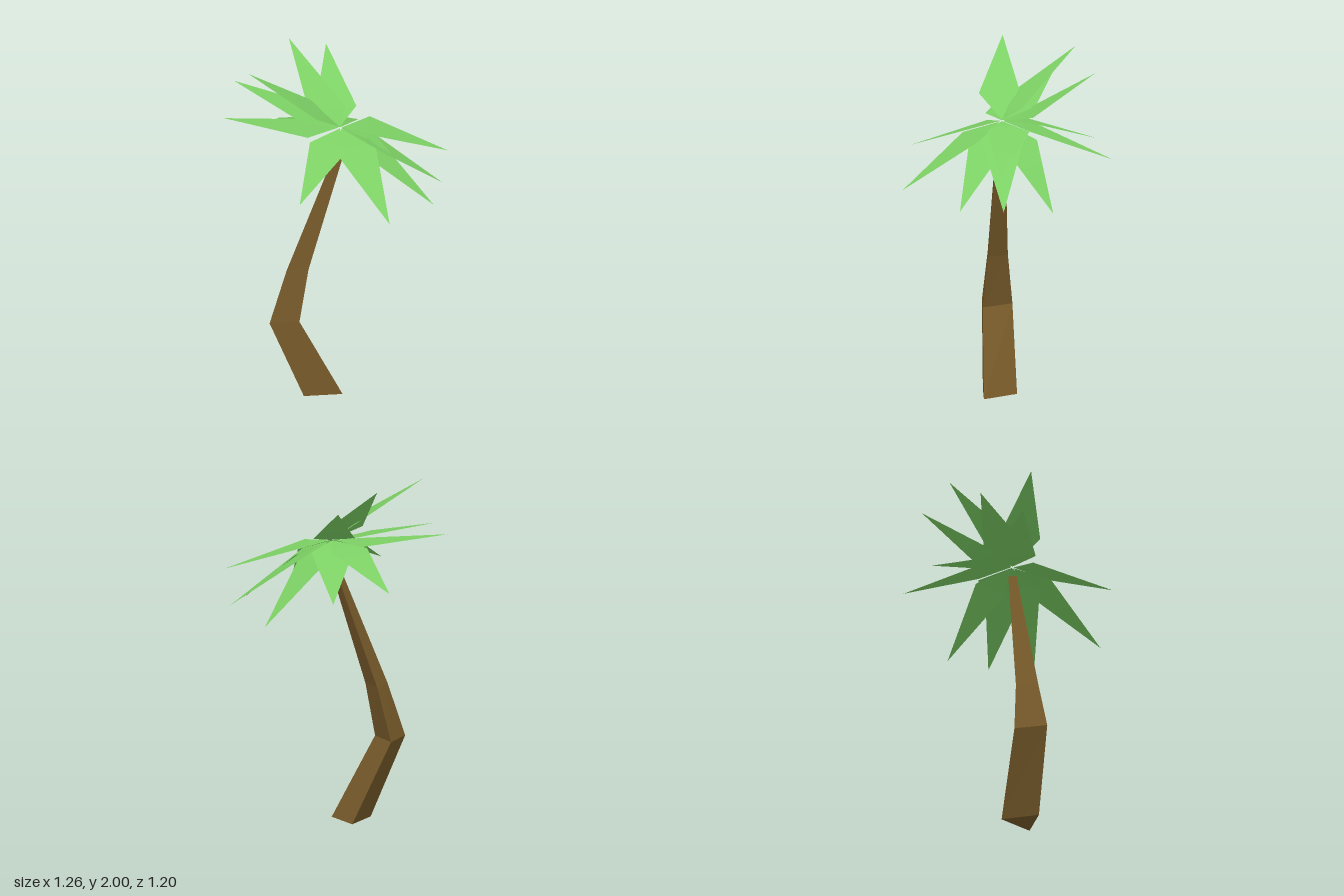
import * as THREE from 'three';

const CROWN = new THREE.Vector3(0.02, 1.63, 0.03);
const UP = new THREE.Vector3(0, 1, 0);

function buildGeometry(points, index) {
  const geo = new THREE.BufferGeometry().setFromPoints(points);
  geo.setIndex(index);
  return geo;
}

// Bent, tapering trunk with a triangular section: flat face forward, ridge at the back
function makeTrunk() {
  // y, left x, right x, front z, back z
  const rings = [
    [0, -0.2, 0.02, 0.13, -0.06],
    [0.47, -0.395, -0.225, 0.13, -0.04],
    [0.78, -0.295, -0.17, 0.1, -0.012],
    [1.58, 0.022, 0.066, 0.055, 0.012],
  ];
  const points = [];
  const index = [0, 2, 1];
  rings.forEach(([y, left, right, front, back], r) => {
    points.push(
      new THREE.Vector3(left, y, front),
      new THREE.Vector3(right, y, front),
      new THREE.Vector3((left + right) / 2, y, back)
    );
    if (r === 0) return;
    for (let i = 0; i < 3; i++) {
      const j = (i + 1) % 3;
      const low = (r - 1) * 3, high = r * 3;
      index.push(low + i, low + j, high + j, low + i, high + j, high + i);
    }
  });
  const top = (rings.length - 1) * 3;
  index.push(top, top + 1, top + 2);
  const geo = buildGeometry(points, index).toNonIndexed();
  geo.computeVertexNormals();
  const mesh = new THREE.Mesh(geo, new THREE.MeshStandardMaterial({ color: 0x775a2a, flatShading: true }));
  mesh.name = 'trunk';
  return mesh;
}

// One frond: a kite from the crown to its tip, bent across its widest line
function makeFrond(tip, middle, material) {
  const side = tip.clone().sub(middle).cross(UP).normalize();
  const halfWidth = 0.118;
  const geo = buildGeometry([
    CROWN.clone().lerp(middle, 0.05),
    middle.clone().addScaledVector(side, halfWidth),
    middle.clone().addScaledVector(side, -halfWidth),
    tip,
  ], [0, 1, 2, 1, 3, 2]);
  geo.computeVertexNormals();
  return new THREE.Mesh(geo, material);
}

export function createModel() {
  const model = new THREE.Group();
  model.name = 'palmTree';
  model.add(makeTrunk());

  const fronds = new THREE.Group();
  fronds.name = 'fronds';
  const green = new THREE.MeshStandardMaterial({ color: 0x7cd064, side: THREE.DoubleSide });
  // tip, then middle of the widest line
  const layout = [
    // rising fronds
    [[-0.5, 1.99, 0.01], [-0.123, 1.75, 0.037]],
    [[-0.22, 2.0, -0.395], [-0.045, 1.71, -0.03]],
    [[0.005, 1.9, -0.5], [0.015, 1.675, -0.14]],
    [[-0.545, 1.8, -0.295], [-0.14, 1.68, -0.06]],
    [[-0.63, 1.68, -0.07], [-0.16, 1.62, 0]],
    // drooping fronds
    [[0.63, 1.46, 0.055], [0.19, 1.615, -0.005]],
    [[0.6, 1.25, 0.035], [0.185, 1.555, 0.03]],
    [[0.52, 1.235, 0.28], [0.18, 1.545, 0.11]],
    [[0.23, 1.285, 0.595], [0.095, 1.555, 0.21]],
    [[-0.275, 1.41, 0.54], [-0.06, 1.585, 0.165]],
    [[-0.285, 1.44, -0.515], [-0.07, 1.605, -0.13]],
    [[0.035, 1.4, -0.6], [0.025, 1.595, -0.135]],
    [[0.41, 1.19, -0.25], [0.14, 1.53, -0.07]],
  ];
  layout.forEach(([tip, middle], i) => {
    const frond = makeFrond(new THREE.Vector3(...tip), new THREE.Vector3(...middle), green);
    frond.name = `frond${i + 1}`;
    fronds.add(frond);
  });
  model.add(fronds);
  return model;
}
